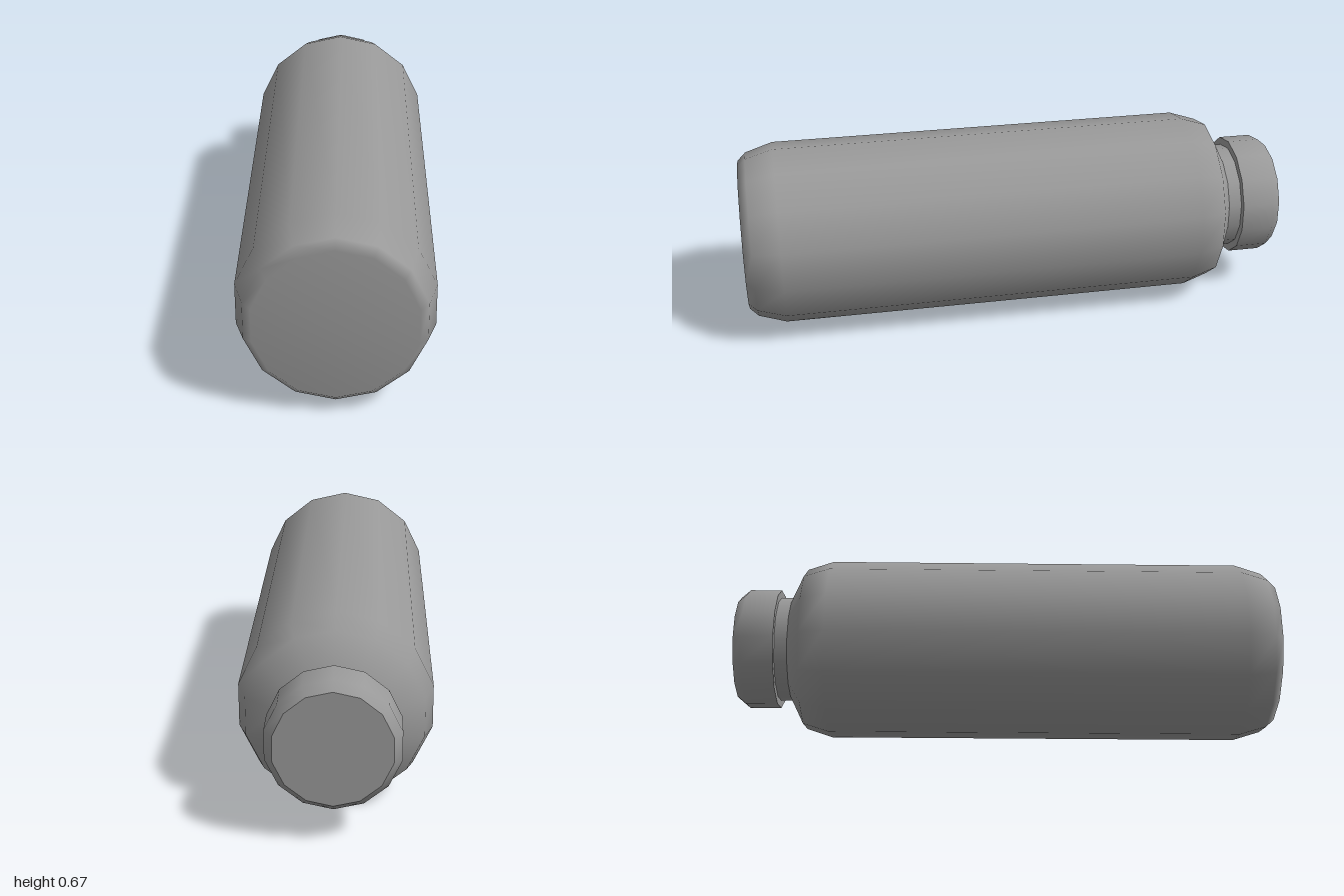
import * as THREE from 'three';

const SIDES = 14;
const RADIUS = 0.333;

export function createModel() {
  const grey = new THREE.MeshStandardMaterial({ color: 0x999999 });
  grey.name = 'grey';

  const model = new THREE.Group();
  model.name = 'bottle';

  // Revolves a [radius, height] profile, then lays it down with its top towards -z
  function turned(name, profile, parent) {
    const points = profile.map(([r, h]) => new THREE.Vector2(r, h));
    const geometry = new THREE.LatheGeometry(points, SIDES);
    geometry.rotateX(-Math.PI / 2);
    const mesh = new THREE.Mesh(geometry, grey);
    mesh.name = name;
    mesh.position.y = RADIUS;
    parent.add(mesh);
  }

  // Body with rounded base and sloping shoulder
  turned('body', [
    [0, -1], [0.273, -1], [0.302, -0.97], [RADIUS, -0.87],
    [RADIUS, 0.655], [0.302, 0.75], [0.195, 0.803],
  ], model);

  // Narrow neck
  turned('neck', [[0.195, 0.803], [0.195, 0.86]], model);

  // Cap: underside, bevelled wall and flat end, kept apart for sharp edges
  const cap = new THREE.Group();
  cap.name = 'cap';
  turned('capUnderside', [[0.19, 0.85], [0.223, 0.85]], cap);
  turned('capWall', [[0.223, 0.85], [0.223, 0.967], [0.195, 1]], cap);
  turned('capEnd', [[0.195, 1], [0, 1]], cap);
  model.add(cap);

  return model;
}
